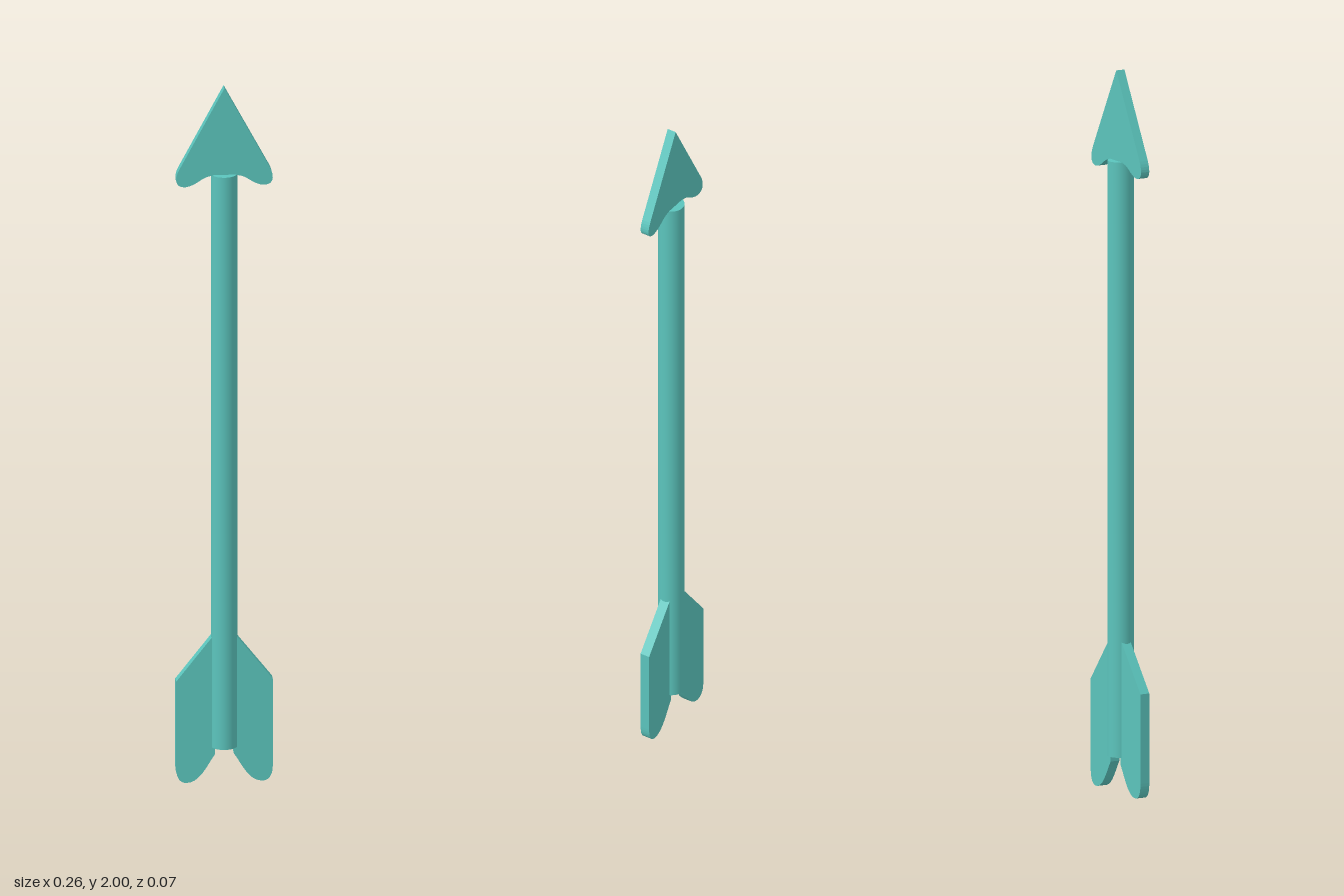
import * as THREE from 'three';

// Flat plate cut from an outline, spanning z0..z1
function plate(shape, z0, z1, material, name) {
  const geometry = new THREE.ExtrudeGeometry(shape, { depth: z1 - z0, bevelEnabled: false, curveSegments: 10 });
  geometry.translate(0, 0, z0);
  const mesh = new THREE.Mesh(geometry, material);
  mesh.name = name;
  return mesh;
}

// Broad triangular head with rounded barbs
function headShape() {
  const s = new THREE.Shape();
  s.moveTo(0, 2);
  s.lineTo(-0.124, 1.768);
  s.bezierCurveTo(-0.137, 1.742, -0.136, 1.716, -0.105, 1.718);
  s.bezierCurveTo(-0.075, 1.722, -0.06, 1.748, -0.034, 1.748);
  s.lineTo(0.034, 1.748);
  s.bezierCurveTo(0.06, 1.748, 0.075, 1.722, 0.105, 1.718);
  s.bezierCurveTo(0.136, 1.716, 0.137, 1.742, 0.124, 1.768);
  s.closePath();
  return s;
}

// Tail vane with slanted top and rounded bottom; side is +1 or -1
function vaneShape(side) {
  const s = new THREE.Shape();
  s.moveTo(side * 0.026, 0.428);
  s.lineTo(side * 0.026, 0.08);
  s.bezierCurveTo(side * 0.045, 0.055, side * 0.065, 0, side * 0.103, 0);
  s.bezierCurveTo(side * 0.122, 0, side * 0.132, 0.015, side * 0.132, 0.045);
  s.lineTo(side * 0.132, 0.293);
  s.closePath();
  return s;
}

export function createModel() {
  const group = new THREE.Group();
  group.name = 'arrow';
  const teal = new THREE.MeshStandardMaterial({ color: 0x5bc4bc });
  teal.name = 'teal';

  // Round shaft
  const shaft = new THREE.Mesh(new THREE.CylinderGeometry(0.036, 0.036, 1.65, 32), teal);
  shaft.name = 'shaft';
  shaft.position.y = 0.925;
  group.add(shaft);

  group.add(plate(headShape(), -0.014, 0.012, teal, 'arrowhead'));
  group.add(plate(vaneShape(1), -0.016, 0.012, teal, 'leftVane'));
  group.add(plate(vaneShape(-1), -0.016, 0.012, teal, 'rightVane'));
  return group;
}
